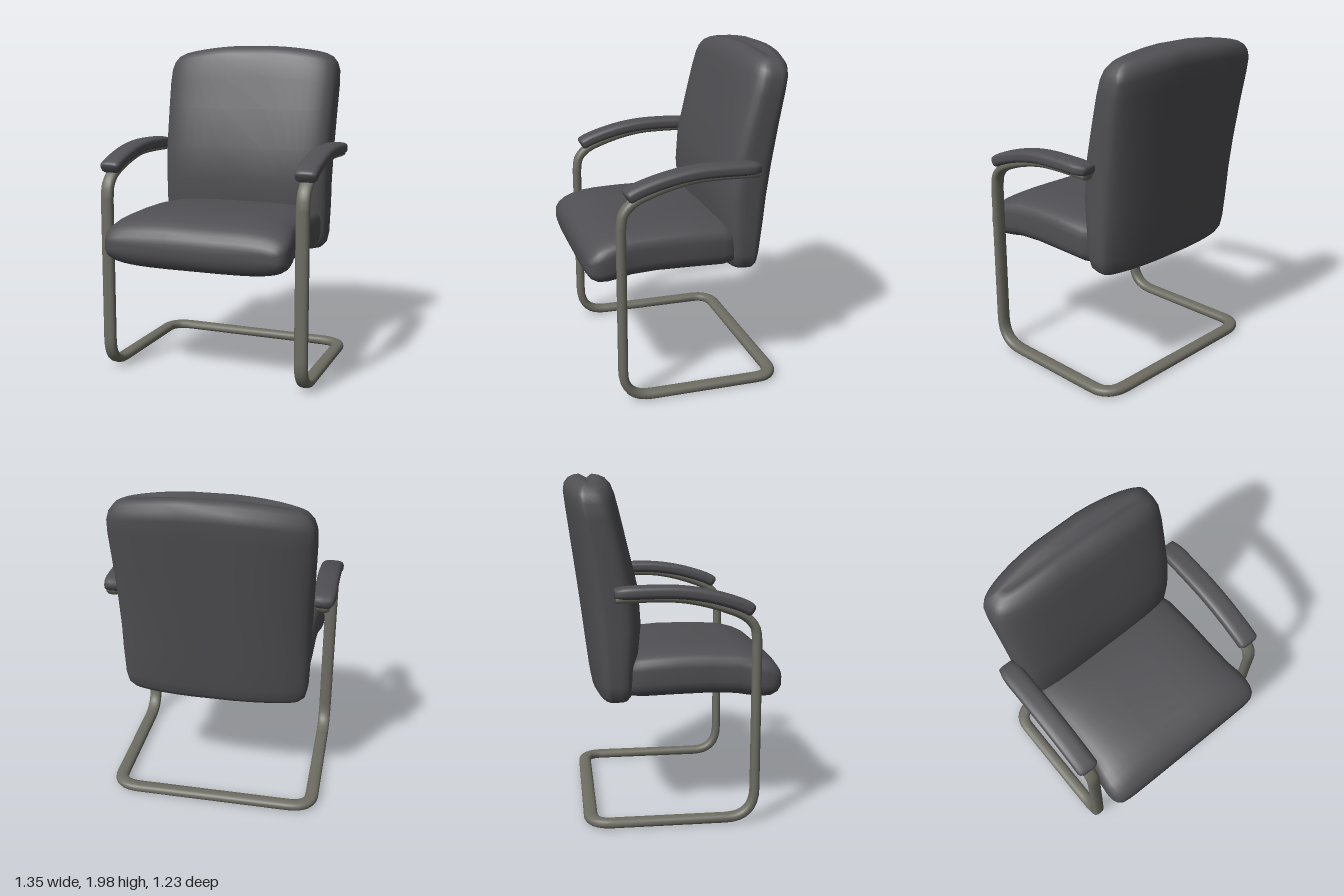
import * as THREE from 'three';

const V = (x, y, z) => new THREE.Vector3(x, y, z);
const X = V(1, 0, 0);

// Closed superellipse ring around centre c, spanned by axes w and n
function ring(c, w, n, a, b, power, sides) {
  const bulge = v => Math.sign(v) * Math.abs(v) ** (2 / power);
  return Array.from({ length: sides }, (_, j) => {
    const t = (j + 0.5) / sides * Math.PI * 2;
    return c.clone().addScaledVector(w, a * bulge(Math.cos(t))).addScaledVector(n, b * bulge(Math.sin(t)));
  });
}

// Smooth skin through a row of rings, closed at both ends
function loft(rings) {
  const sides = rings[0].length, pos = [], idx = [];
  rings.forEach(r => r.forEach(p => pos.push(p.x, p.y, p.z)));
  for (let i = 0; i < rings.length - 1; i++) {
    for (let j = 0; j < sides; j++) {
      const k = (j + 1) % sides, a = i * sides + j, b = i * sides + k;
      idx.push(a, b, a + sides, b, b + sides, a + sides);
    }
  }
  const last = (rings.length - 1) * sides;
  [rings[0], rings[rings.length - 1]].forEach((r, e) => {
    const c = r.reduce((s, p) => s.add(p), V(0, 0, 0)).divideScalar(sides);
    const m = pos.length / 3;
    pos.push(c.x, c.y, c.z);
    for (let j = 0; j < sides; j++) {
      const k = (j + 1) % sides;
      if (e) idx.push(m, last + j, last + k);
      else idx.push(m, k, j);
    }
  });
  const g = new THREE.BufferGeometry();
  g.setAttribute('position', new THREE.Float32BufferAttribute(pos, 3));
  g.setIndex(idx);
  g.computeVertexNormals();
  return g;
}

// Sweep a flattened section along points; widthAxis gives the wide direction
function sweep(points, widthAxis, a, b, power, sides, scale = () => 1) {
  const end = points.length - 1;
  return loft(points.map((p, i) => {
    const t = points[Math.min(i + 1, end)].clone().sub(points[Math.max(i - 1, 0)]).normalize();
    const w = widthAxis(p, t), n = t.clone().cross(w).normalize(), s = scale(i / end);
    return ring(p, w, n, a * s, b * s, power, sides);
  }));
}

export function createModel() {
  const group = new THREE.Group();
  const upholstery = new THREE.MeshStandardMaterial({ color: 0x504f53 });
  const metal = new THREE.MeshStandardMaterial({ color: 0x6d6d63 });
  upholstery.name = 'charcoal upholstery';
  metal.name = 'grey metal';
  const add = (name, geometry, material) => {
    const mesh = new THREE.Mesh(geometry, material);
    mesh.name = name;
    group.add(mesh);
  };

  // Seat cushion: z, half width, bottom, top
  add('seat', loft([
    [-0.35, 0.50, 0.74, 0.98], [-0.2, 0.535, 0.72, 1.015], [0, 0.54, 0.726, 1.03],
    [0.2, 0.54, 0.73, 1.03], [0.36, 0.546, 0.724, 1.022], [0.43, 0.56, 0.714, 1.01],
    [0.5, 0.567, 0.708, 0.99], [0.55, 0.564, 0.714, 0.965], [0.585, 0.55, 0.735, 0.935],
    [0.605, 0.525, 0.765, 0.905], [0.614, 0.48, 0.8, 0.87],
  ].map(([z, w, lo, hi]) =>
    ring(V(0, (lo + hi) / 2, z), X, V(0, 1, 0), w, (hi - lo) / 2, 4, 40))), upholstery);

  // Backrest: y, half width, rear z, front z; bowed rear face and arched top
  add('backrest', loft([
    [0.712, 0.46, -0.42, -0.28], [0.725, 0.505, -0.445, -0.25], [0.755, 0.535, -0.463, -0.23],
    [0.82, 0.55, -0.477, -0.212], [1.0, 0.555, -0.5, -0.197], [1.15, 0.555, -0.518, -0.182],
    [1.35, 0.56, -0.544, -0.195], [1.6, 0.567, -0.578, -0.255], [1.8, 0.572, -0.605, -0.3],
    [1.9, 0.568, -0.617, -0.325], [1.95, 0.553, -0.61, -0.345], [1.982, 0.525, -0.585, -0.375],
    [1.996, 0.485, -0.55, -0.41], [2.0, 0.44, -0.52, -0.44],
  ].map(([y, w, back, front]) => {
    const mid = (back + front) / 2, half = (front - back) / 2;
    return ring(V(0, y, mid), X, V(0, 0, -1), w, half, 4, 48).map(p => {
      const side = (p.x / 0.57) ** 2;
      p.z += 0.045 * side * Math.max(0, (mid - p.z) / half);
      p.y -= 0.065 * side * THREE.MathUtils.smoothstep(y, 1.5, 2);
      return p;
    });
  })), upholstery);

  // Cantilever frame: half path from arm to rear bar, then mirrored
  const armX = 0.61, floorY = 0.048;
  const bend = (a, b, c) => new THREE.QuadraticBezierCurve3(a, b, c).getPoints(8);
  const half = [
    ...new THREE.CatmullRomCurve3([
      [-0.35, 1.337], [-0.15, 1.34], [0, 1.335], [0.13, 1.312], [0.27, 1.27],
      [0.37, 1.225], [0.425, 1.165], [0.44, 1.08],
    ].map(([z, y]) => V(armX, y, z))).getPoints(24),
    ...bend(V(armX, 0.22, 0.44), V(armX, floorY, 0.44), V(armX, floorY, 0.27)),
    ...bend(V(armX, floorY, -0.38), V(armX, floorY, -0.5), V(0.47, floorY, -0.5)),
  ];
  const path = [...half, ...half.map(p => V(-p.x, p.y, p.z)).reverse()];
  const frameAxis = (p, t) => p.y > floorY + 0.001
    ? V(Math.sign(p.x), 0, 0) : V(-t.z, 0, t.x).normalize();
  add('frame', sweep(path, frameAxis, 0.04, 0.027, 2.4, 14), metal);

  // Padded armrests
  for (const side of [1, -1]) {
    const line = new THREE.CatmullRomCurve3([
      [-0.355, 1.366], [-0.15, 1.371], [0, 1.368], [0.15, 1.347], [0.28, 1.313], [0.37, 1.28], [0.408, 1.258],
    ].map(([z, y]) => V(side * armX, y, z))).getPoints(28);
    add(side > 0 ? 'leftArmrest' : 'rightArmrest',
      sweep(line, () => X, 0.066, 0.037, 3.2, 20, u => Math.min(1, 0.75 + 5 * Math.min(u, 1 - u))), upholstery);
  }
  return group;
}
